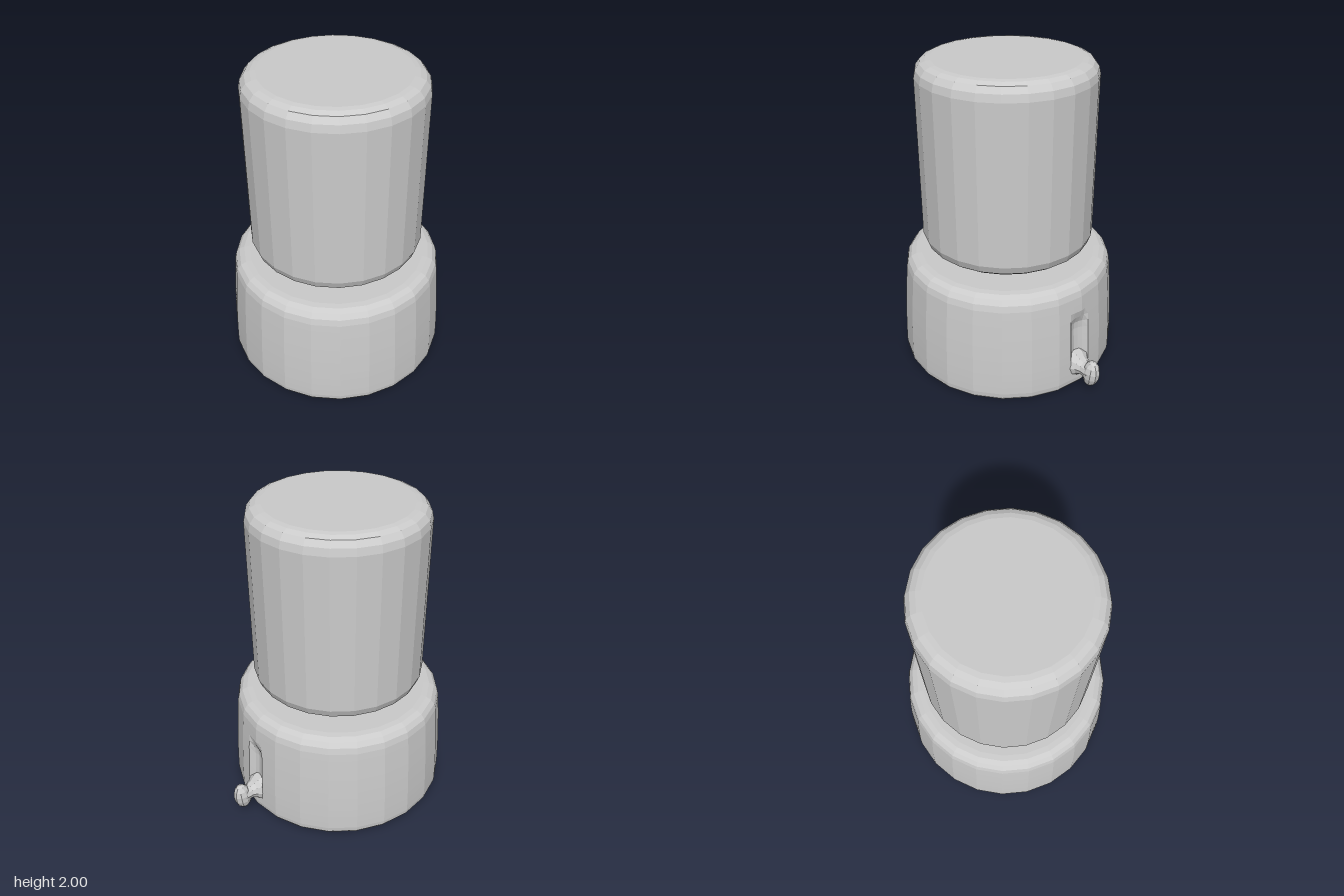
import * as THREE from 'three';

const SIDES = 24, SPLIT = 6;          // facets round the body, subdivisions of each facet
const AXIS_X = -0.055;                // centre line of the body
const TAP_ANGLE = THREE.MathUtils.degToRad(24); // from +x towards +z

const material = new THREE.MeshStandardMaterial({ color: 0xcccccc, flatShading: true });

function makeMesh(name, geometry) {
  const flat = geometry.toNonIndexed();
  flat.computeVertexNormals();
  const mesh = new THREE.Mesh(flat, material);
  mesh.name = name;
  return mesh;
}

const toPoints = (list) => list.map(([r, y]) => new THREE.Vector2(r, y));

// Lathe whose cross-section is a regular polygon; an optional rule cuts into the radius
function facetedLathe(profile, split = 1, cut = () => 0) {
  const geometry = new THREE.LatheGeometry(toPoints(profile), SIDES * split, Math.PI / SIDES);
  const pos = geometry.attributes.position;
  const step = (2 * Math.PI) / SIDES;
  for (let i = 0; i < pos.count; i++) {
    const x = pos.getX(i), y = pos.getY(i), z = pos.getZ(i);
    const r = Math.hypot(x, z);
    if (r < 1e-6) continue;
    const phi = Math.atan2(x, z);
    const local = phi - Math.round(phi / step) * step;
    const k = 1 / Math.cos(local) - cut(Math.atan2(z, x), y, r) / r;
    pos.setXYZ(i, x * k, y, z * k);
  }
  return geometry;
}

// Shallow upright groove in the base wall above the tap
function groove(angle, y, r) {
  if (r < 0.6) return 0;
  const across = Math.max(0, 1 - ((angle - TAP_ANGLE) / 0.09) ** 2);
  const up = THREE.MathUtils.smoothstep(y, 0.1, 0.2) * (1 - THREE.MathUtils.smoothstep(y, 0.42, 0.56));
  return 0.045 * Math.sqrt(across) * up;
}

export function createModel() {
  const group = new THREE.Group();
  const body = new THREE.Group();
  body.name = 'dispenser';
  body.position.x = AXIS_X;
  group.add(body);

  // Base: gently tapering wall with rounded rims
  const wall = [];
  for (let i = 0; i <= 12; i++) {
    const t = i / 12;
    wall.push([0.7 - 0.035 * t ** 1.6, 0.06 + 0.59 * t]);
  }
  body.add(makeMesh('base', facetedLathe([
    [0, 0], [0.655, 0], [0.685, 0.012], [0.697, 0.032], ...wall,
    [0.655, 0.69], [0.632, 0.72], [0.6, 0.736], [0.565, 0.74], [0, 0.74],
  ], SPLIT, groove)));

  // Neck between base and tank
  body.add(makeMesh('neck', facetedLathe([
    [0.37, 0.738], [0.33, 0.748], [0.312, 0.765], [0.325, 0.783], [0.37, 0.802],
  ])));

  // Tank: upright drum with rounded ends
  body.add(makeMesh('tank', facetedLathe([
    [0, 0.797], [0.44, 0.797], [0.49, 0.807], [0.527, 0.835], [0.545, 0.885],
    [0.545, 1.9], [0.535, 1.945], [0.508, 1.98], [0.475, 1.995], [0.445, 2], [0, 2],
  ])));

  // Tap: flared stem with an oval spout, pointing out along local +x
  const tap = new THREE.Group();
  tap.name = 'tap';
  tap.rotation.y = -TAP_ANGLE;
  const stem = new THREE.LatheGeometry(toPoints([
    [0.1, 0.64], [0.085, 0.69], [0.062, 0.715], [0.05, 0.745], [0.05, 0.8], [0, 0.82],
  ]), 10);
  stem.rotateZ(-Math.PI / 2).translate(0, 0.155, 0);
  tap.add(makeMesh('tapStem', stem));
  const spout = new THREE.SphereGeometry(1, 9, 7);
  spout.scale(0.058, 0.096, 0.052).rotateZ(-0.12).translate(0.8, 0.145, 0);
  tap.add(makeMesh('tapSpout', spout));
  body.add(tap);

  return group;
}
